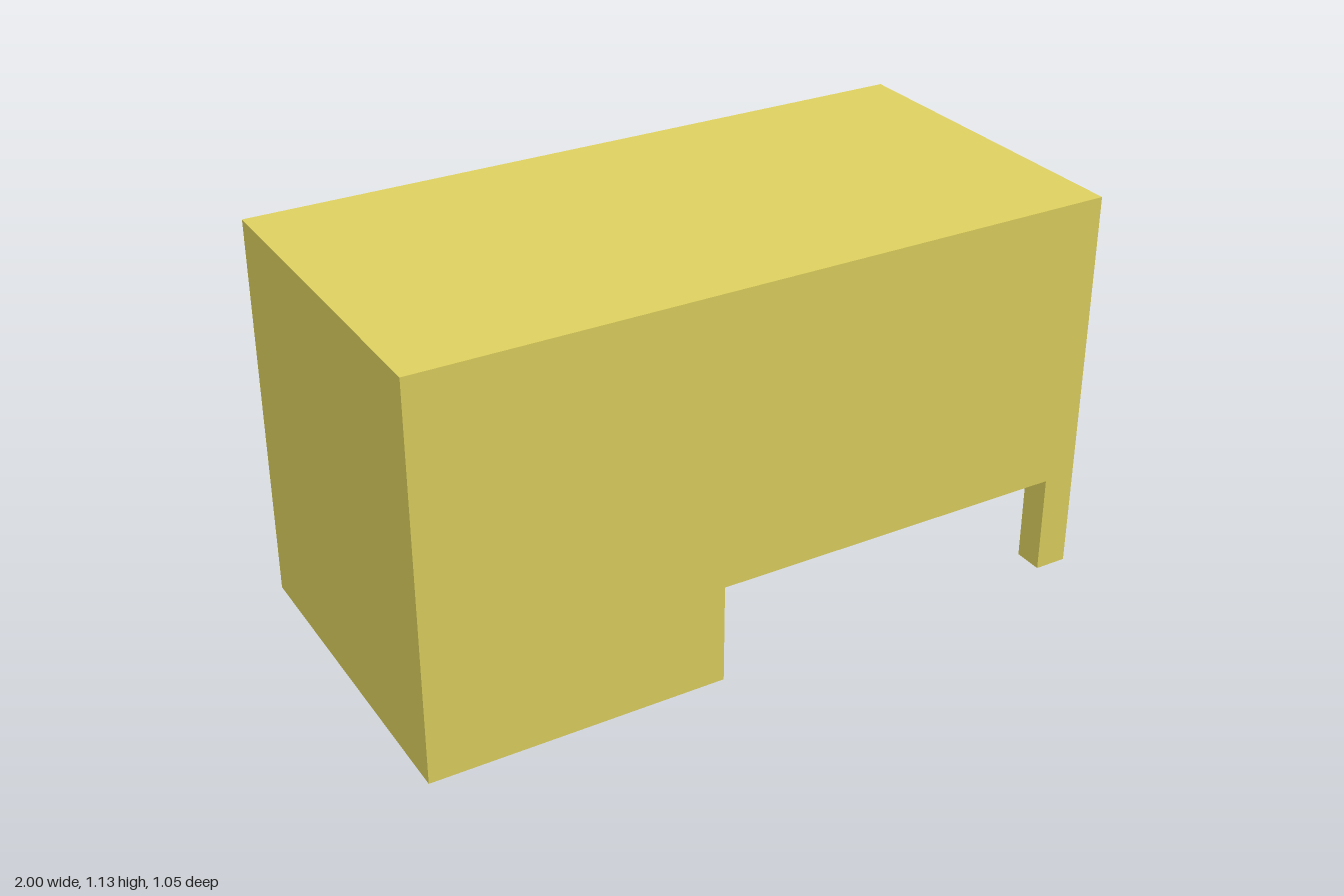
import * as THREE from 'three';

const BACK = -0.477, FRONT = 0.523, HEIGHT = 1.13;
const PEDESTAL = -0.15; // inner face of the drawer pedestal
const SIDE = 0.905;     // inner face of the side panel
const CLEAR = 0.29;     // gap under the panels
const UNDER = 1.043;    // underside of the top

export function createModel() {
  const desk = new THREE.Group();
  desk.name = 'desk';
  const material = new THREE.MeshStandardMaterial({ color: 0xddd05f });

  const add = (name, geometry, parent = desk) => {
    const mesh = new THREE.Mesh(geometry, material);
    mesh.name = name;
    parent.add(mesh);
    return mesh;
  };

  // Box given by its low and high limits on each axis
  const addBox = (name, x0, x1, y0, y1, z0, z1, parent) =>
    add(name, new THREE.BoxGeometry(x1 - x0, y1 - y0, z1 - z0), parent)
      .position.set((x0 + x1) / 2, (y0 + y1) / 2, (z0 + z1) / 2);

  // Top, drawer pedestal and side panel in one extruded profile
  const profile = new THREE.Shape([
    [-1, 0], [PEDESTAL, 0], [PEDESTAL, UNDER], [SIDE, UNDER],
    [SIDE, CLEAR], [1, CLEAR], [1, HEIGHT], [-1, HEIGHT],
  ].map(([x, y]) => new THREE.Vector2(x, y)));
  const body = new THREE.ExtrudeGeometry(profile, { depth: FRONT - BACK, bevelEnabled: false });
  add('deskBody', body).position.z = BACK;

  // Panel closing the front of the knee space
  addBox('frontPanel', PEDESTAL, SIDE, CLEAR, UNDER, 0.438, FRONT);

  // Legs under the side panel
  addBox('frontLeg', SIDE, 1, 0, CLEAR, 0.438, FRONT);
  addBox('backLeg', SIDE, 1, 0, CLEAR, BACK, -0.402);

  // Drawers with round knobs on the back face: bottom, top, face depth, knob height
  const drawers = [
    ['topDrawer', 0.773, 0.972, -0.495, 0.911],
    ['middleDrawer', 0.541, 0.742, -0.498, 0.676],
    ['bottomDrawer', 0.075, 0.494, -0.501, 0.412],
  ];
  for (const [name, y0, y1, z, knobY] of drawers) {
    const drawer = new THREE.Group();
    drawer.name = name;
    desk.add(drawer);
    addBox('drawerFront', -0.935, -0.22, y0, y1, z, BACK, drawer);
    const length = z + 0.523;
    const knob = new THREE.CylinderGeometry(0.029, 0.029, length, 32).rotateX(Math.PI / 2);
    add('drawerKnob', knob, drawer).position.set(-0.57, knobY, z - length / 2);
  }

  return desk;
}
